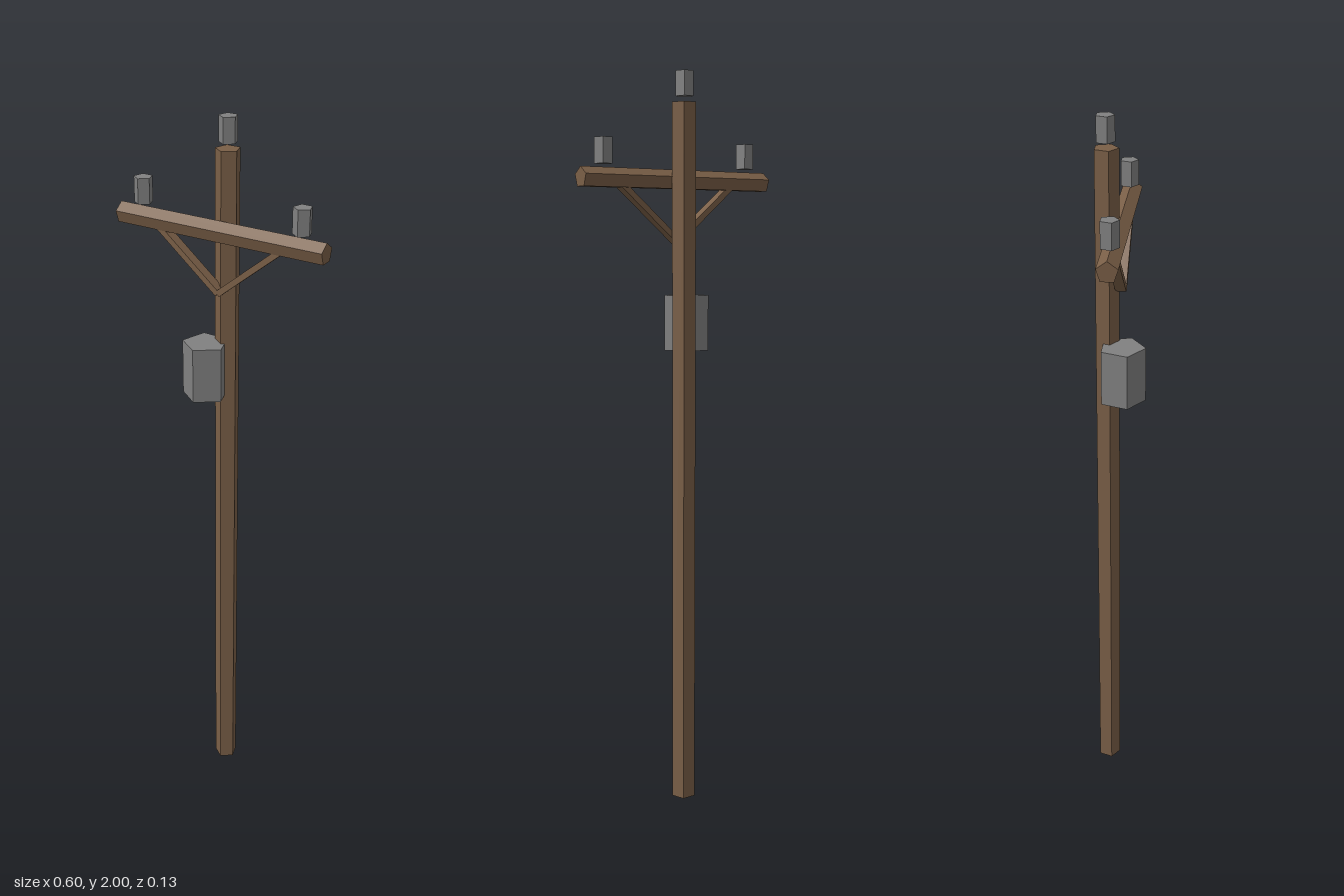
import * as THREE from 'three';

export function createModel() {
  const wood = new THREE.MeshStandardMaterial({ color: 0x7a5f47 });
  wood.name = 'brown wood';
  const metal = new THREE.MeshStandardMaterial({ color: 0x808080 });
  metal.name = 'grey metal';

  const group = new THREE.Group();
  group.name = 'utilityPole';

  function add(name, geometry, material, x, y, z) {
    const mesh = new THREE.Mesh(geometry.toNonIndexed(), material);
    mesh.geometry.computeVertexNormals(); // faceted sides
    mesh.name = name;
    mesh.position.set(x, y, z);
    group.add(mesh);
    return mesh;
  }

  // Upright five-sided prism, one corner facing the front
  const prism = (r, h) => new THREE.CylinderGeometry(r, r, h, 5);

  function upright(name, material, r, bottom, top, x, z) {
    return add(name, prism(r, top - bottom), material, x, (bottom + top) / 2, z);
  }

  // Main post
  upright('pole', wood, 0.033, 0, 1.92, 0, -0.04);

  // Crossarm, ridge pointing up
  const arm = prism(0.028, 0.6).rotateX(-Math.PI / 2).rotateY(Math.PI / 2);
  add('crossarm', arm, wood, 0, 1.719, -0.004);

  // Insulators on the pole top and both arm ends
  upright('topInsulator', metal, 0.025, 1.935, 2, 0, -0.042);
  for (const side of [1, -1]) {
    const label = side > 0 ? 'left' : 'right';
    upright(label + 'Insulator', metal, 0.025, 1.755, 1.822, side * 0.231, -0.006);

    // Diagonal brace from the pole to the underside of the arm
    const start = new THREE.Vector2(0, 1.558);
    const end = new THREE.Vector2(0.18, 1.706);
    const length = start.distanceTo(end);
    const angle = Math.atan2(end.y - start.y, end.x - start.x);
    const brace = add(label + 'Brace', new THREE.BoxGeometry(length, 0.016, 0.028), wood,
      side * (start.x + end.x) / 2, (start.y + end.y) / 2, -0.003);
    brace.rotation.z = side * angle;
  }

  // Transformer can on the front of the pole
  upright('transformer', metal, 0.0625, 1.263, 1.413, -0.04, 0.0035);

  return group;
}
